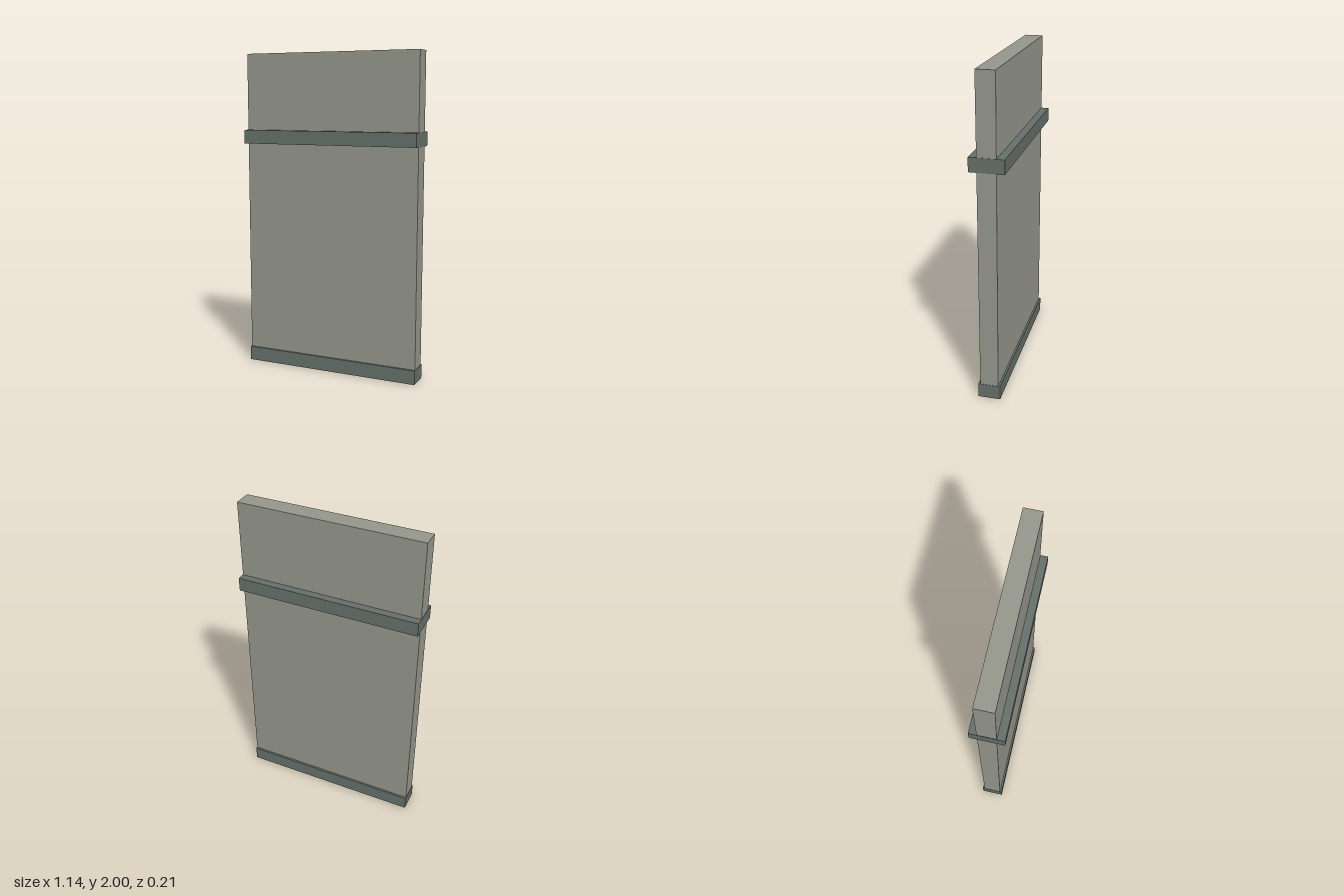
import * as THREE from 'three';

export function createModel() {
  const model = new THREE.Group();
  model.name = 'wallPanel';

  const plaster = new THREE.MeshStandardMaterial({ color: 0x94968b });
  plaster.name = 'warm grey plaster';
  const trim = new THREE.MeshStandardMaterial({ color: 0x656f69 });
  trim.name = 'dark green grey trim';

  // Box spanning a height range, centred on x and z
  function addSlab(name, material, width, bottom, top, depth) {
    const mesh = new THREE.Mesh(new THREE.BoxGeometry(width, top - bottom, depth), material);
    mesh.position.y = (bottom + top) / 2;
    mesh.name = name;
    model.add(mesh);
  }

  addSlab('wall', plaster, 1.138, 0, 2, 0.112);
  // Trims sit just proud of the wall ends; the wall's underside stays exposed
  addSlab('baseboard', trim, 1.142, 0.001, 0.09, 0.136);
  addSlab('upperRail', trim, 1.142, 1.44, 1.525, 0.206);

  return model;
}
